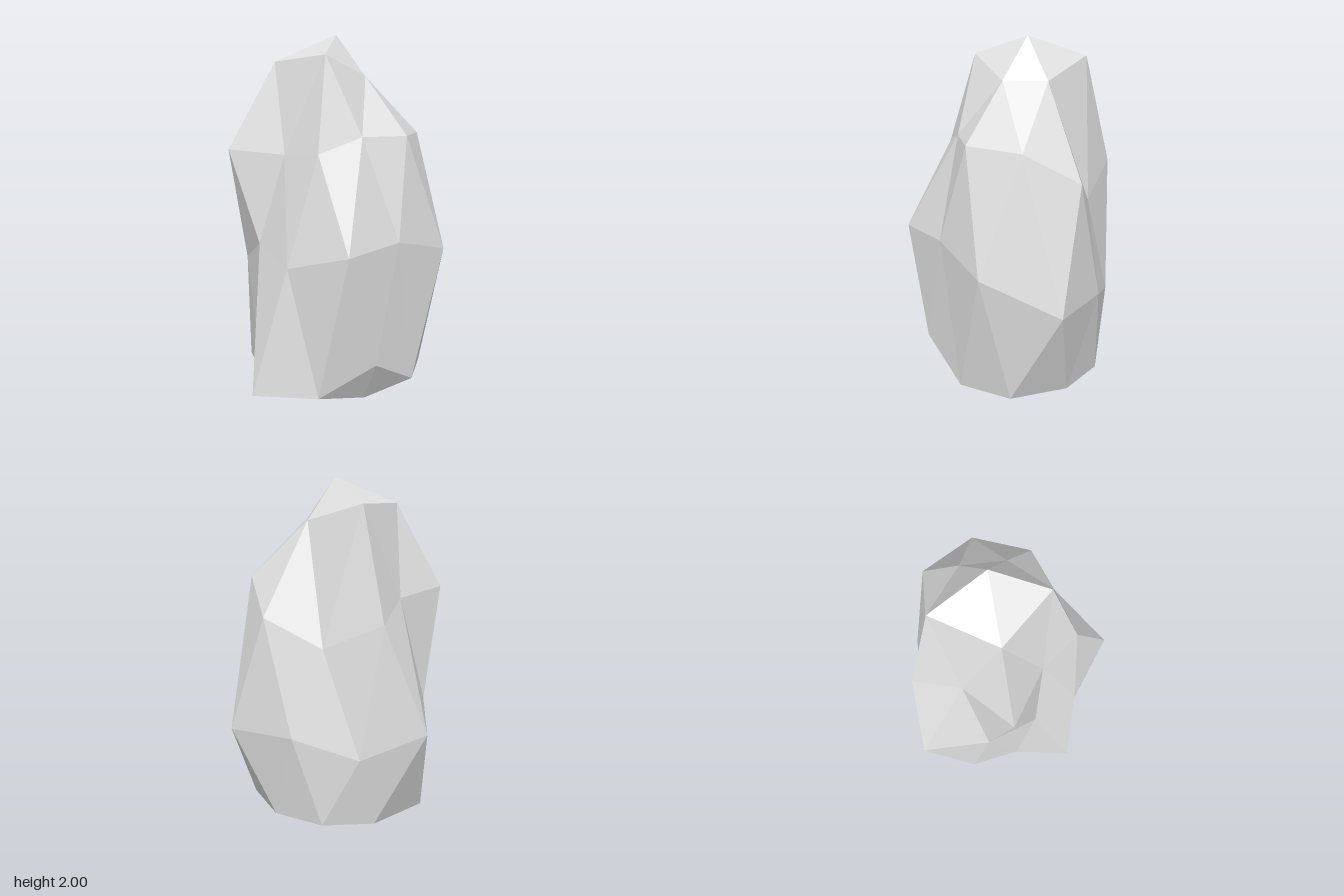
import * as THREE from 'three';

// Rings of corner points, each running from the front round by +x to the back.
const top = [0.04, 2, 0.06];
const crown = [[0.08, 1.77, 0.25], [0.24, 1.77, 0.06], [0.13, 1.88, -0.28], [-0.245, 1.85, -0.145], [-0.23, 1.89, 0.24]];
const shoulder = [
  [0.13, 1.45, 0.515], [0.43, 1.44, 0.35], [0.555, 1.265, 0.06], [0.32, 1.09, -0.165], [0.13, 1.25, -0.455],
  [-0.125, 1.34, -0.313], [-0.48, 1.36, -0.285], [-0.37, 1.35, 0.065], [-0.38, 1.375, 0.335], [-0.13, 1.455, 0.42],
];
const waist = [
  [0.385, 0.785, 0.6], [0.667, 0.585, 0.255], [0.505, 0.59, -0.11], [0.235, 0.47, -0.38], [-0.06, 0.62, -0.613],
  [-0.33, 0.7, -0.315], [-0.46, 0.85, -0.05], [-0.525, 0.77, 0.245], [-0.435, 0.875, 0.61], [-0.03, 0.89, 0.605],
];
const foot = [
  [0.405, 0.045, 0.42], [0.485, 0.045, 0.09], [0.37, 0.045, -0.205], [0.1, 0.025, -0.357], [-0.255, 0.05, -0.385],
  [-0.405, 0.05, -0.12], [-0.67, 0.055, 0.115], [-0.455, 0.06, 0.41], [-0.215, 0.24, 0.61], [0.13, 0.055, 0.585],
];
const toe = [-0.165, 0, 0.485];

export function createModel() {
  // The shell is open underneath, so its inside shows too.
  const stone = new THREE.MeshStandardMaterial({ color: 0xe1e1e1 });
  stone.name = 'pale stone';
  stone.flatShading = true;
  stone.side = THREE.DoubleSide;

  const positions = [];
  const tri = (a, b, c) => positions.push(...a, ...b, ...c);

  // Cap: facets from the top through the crown to the shoulder
  for (let i = 0; i < 5; i++) {
    const p = crown[i], q = crown[(i + 1) % 5];
    const a = shoulder[2 * i], m = shoulder[2 * i + 1], b = shoulder[(2 * i + 2) % 10];
    tri(top, p, q);
    tri(p, a, m);
    tri(p, m, q);
    tri(q, m, b);
  }

  // Sides: facets between shoulder, waist and foot
  for (let i = 0; i < 10; i += 2) {
    const j = i + 1, k = (i + 2) % 10;
    tri(shoulder[i], waist[i], shoulder[j]);
    tri(shoulder[j], waist[i], waist[j]);
    tri(shoulder[j], waist[j], shoulder[k]);
    tri(waist[i], foot[i], waist[j]);
    tri(shoulder[k], waist[j], waist[k]);
    tri(waist[j], foot[i], foot[j]);
    tri(waist[j], foot[j], waist[k]);
    tri(waist[k], foot[j], foot[k]);
  }

  // Toe: two facets filling the notch at the front of the foot
  tri(foot[7], toe, foot[8]);
  tri(foot[8], toe, foot[9]);

  const geometry = new THREE.BufferGeometry();
  geometry.setAttribute('position', new THREE.Float32BufferAttribute(positions, 3));
  geometry.computeVertexNormals();

  const rock = new THREE.Mesh(geometry, stone);
  rock.name = 'rock';
  const group = new THREE.Group();
  group.name = 'standingRock';
  group.add(rock);
  return group;
}
